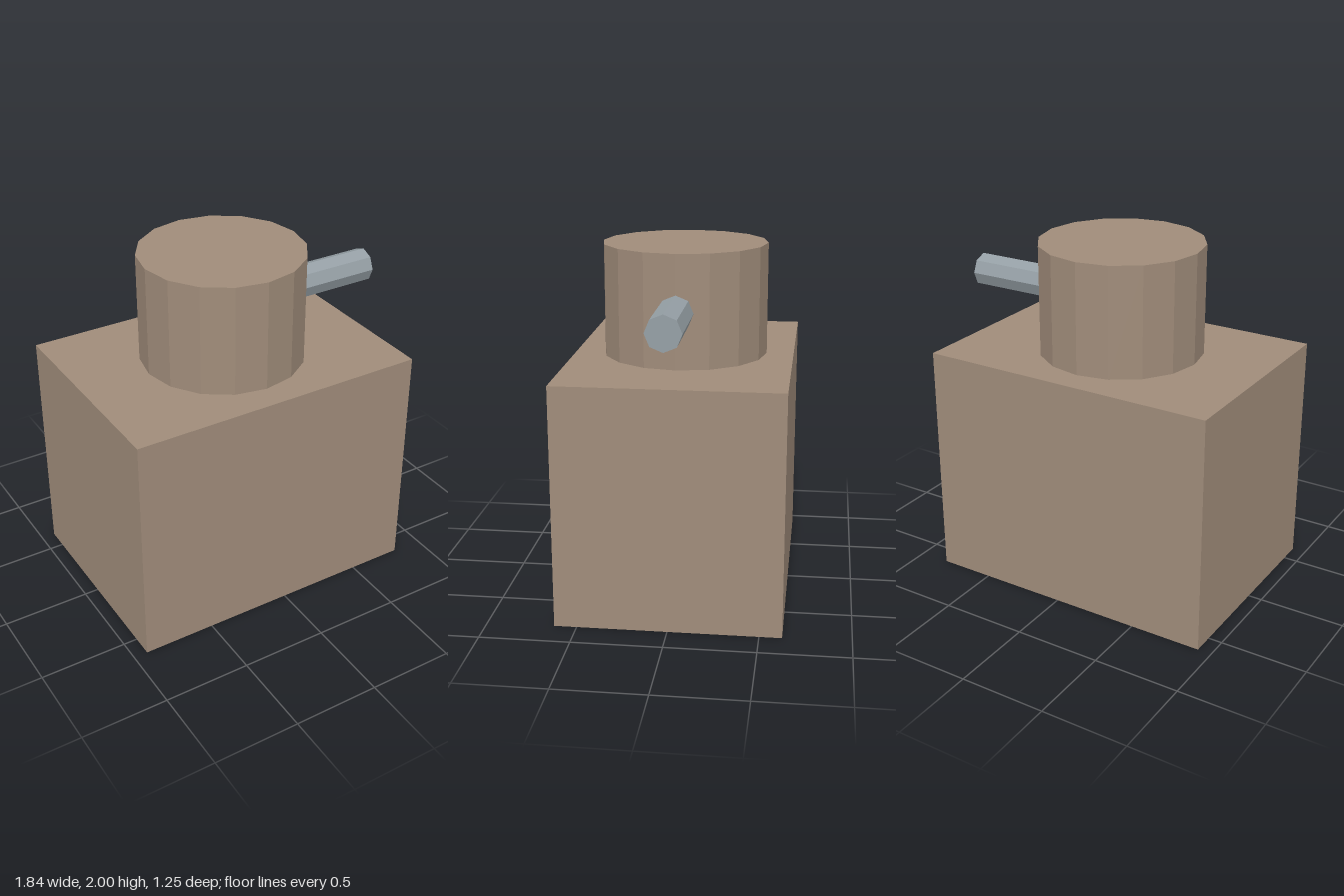
import * as THREE from 'three';

export function createModel() {
  const model = new THREE.Group();
  model.name = 'turretBlock';

  const brown = new THREE.MeshStandardMaterial({ color: 0xa08c7a, flatShading: true });
  brown.name = 'brown';
  const steel = new THREE.MeshStandardMaterial({ color: 0x959fa5, flatShading: true });
  steel.name = 'steel';

  const add = (name, geometry, material, x, y, z = 0) => {
    const mesh = new THREE.Mesh(geometry, material);
    mesh.name = name;
    mesh.position.set(x, y, z);
    model.add(mesh);
    return mesh;
  };

  // Solid block base
  const baseHeight = 1.365;
  add('base', new THREE.BoxGeometry(1.74, baseHeight, 1.25), brown, -0.05, baseHeight / 2);

  // Sixteen-sided drum on top
  const drumHeight = 2 - baseHeight;
  add('drum', new THREE.CylinderGeometry(0.47, 0.47, drumHeight, 16), brown, -0.05, baseHeight + drumHeight / 2);

  // Eight-sided barrel pointing to the left (+x)
  const barrel = add('barrel', new THREE.CylinderGeometry(0.098, 0.098, 0.497, 8), steel, 0.6685, 1.68);
  barrel.rotation.z = -Math.PI / 2;

  return model;
}
